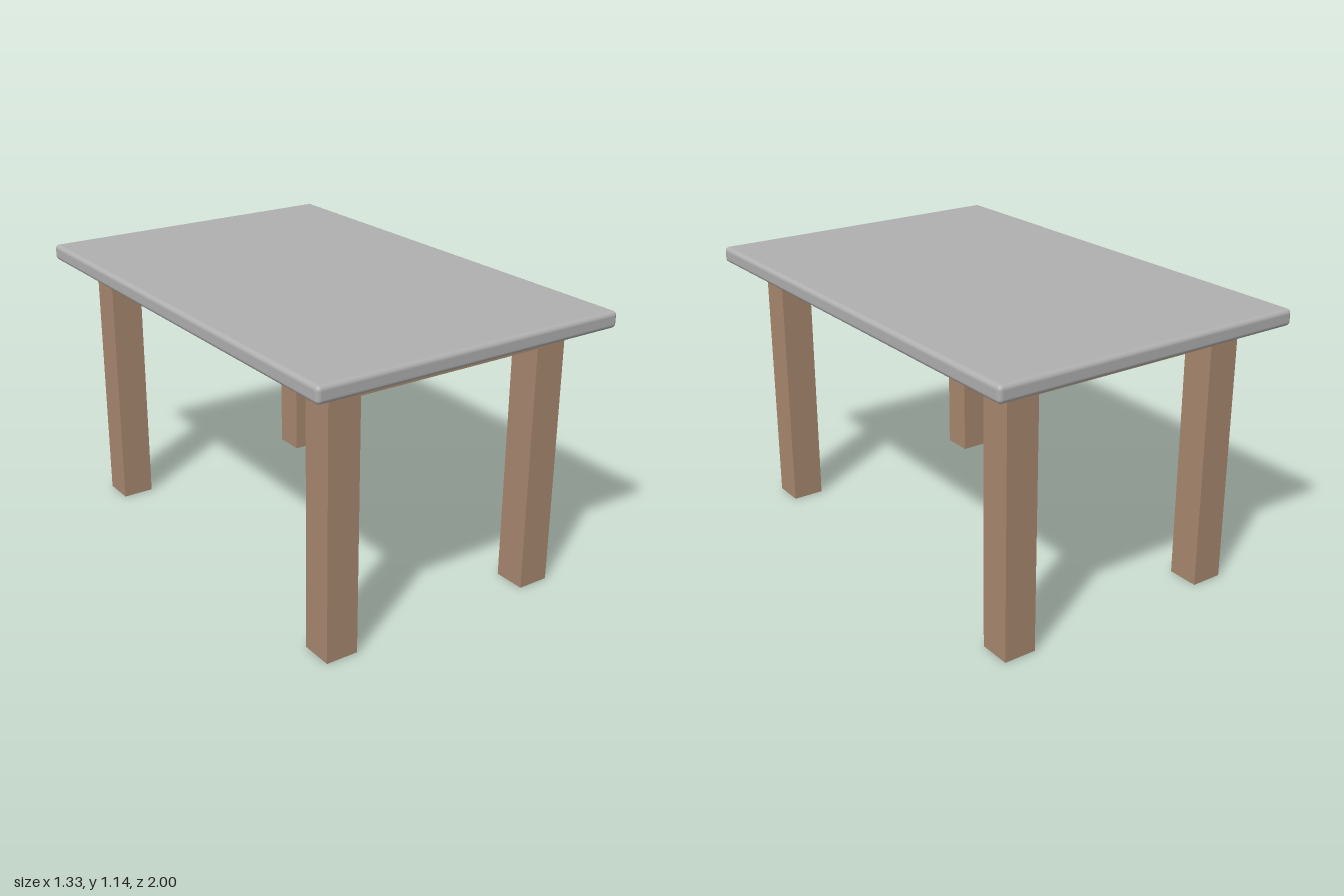
import * as THREE from 'three';
import { RoundedBoxGeometry } from 'three/addons/geometries/RoundedBoxGeometry.js';

export function createModel() {
  const model = new THREE.Group();
  model.name = 'table';
  const stone = new THREE.MeshStandardMaterial({ color: 0xb0b0b0 });
  stone.name = 'grey top';
  const wood = new THREE.MeshStandardMaterial({ color: 0xa8886f });
  wood.name = 'brown wood';

  const add = (name, geometry, material, x, y, z) => {
    const mesh = new THREE.Mesh(geometry, material);
    mesh.name = name;
    mesh.position.set(x, y, z);
    model.add(mesh);
  };

  const legTop = 1.006, apronTop = 1.072, top = 1.138;
  const legSize = 0.133, halfX = 0.533, halfZ = 0.867;
  const frameZ = 0.004; // the frame sits slightly forward of the top

  // Table top with softened edges
  add('tableTop', new RoundedBoxGeometry(1.33, top - apronTop, 2, 4, 0.018), stone,
    0, (top + apronTop) / 2, 0);

  // Solid slab under the top
  add('apron', new THREE.BoxGeometry(halfX * 2, apronTop - legTop, halfZ * 2), wood,
    0, (apronTop + legTop) / 2, frameZ);

  // Four square legs, flush with the slab corners
  const legGeometry = new THREE.BoxGeometry(legSize, legTop, legSize);
  for (const [sx, side] of [[1, 'Left'], [-1, 'Right']]) {
    for (const [sz, end] of [[1, 'front'], [-1, 'back']]) {
      add(`${end}${side}Leg`, legGeometry, wood,
        sx * (halfX - legSize / 2), legTop / 2, frameZ + sz * (halfZ - legSize / 2));
    }
  }
  return model;
}
